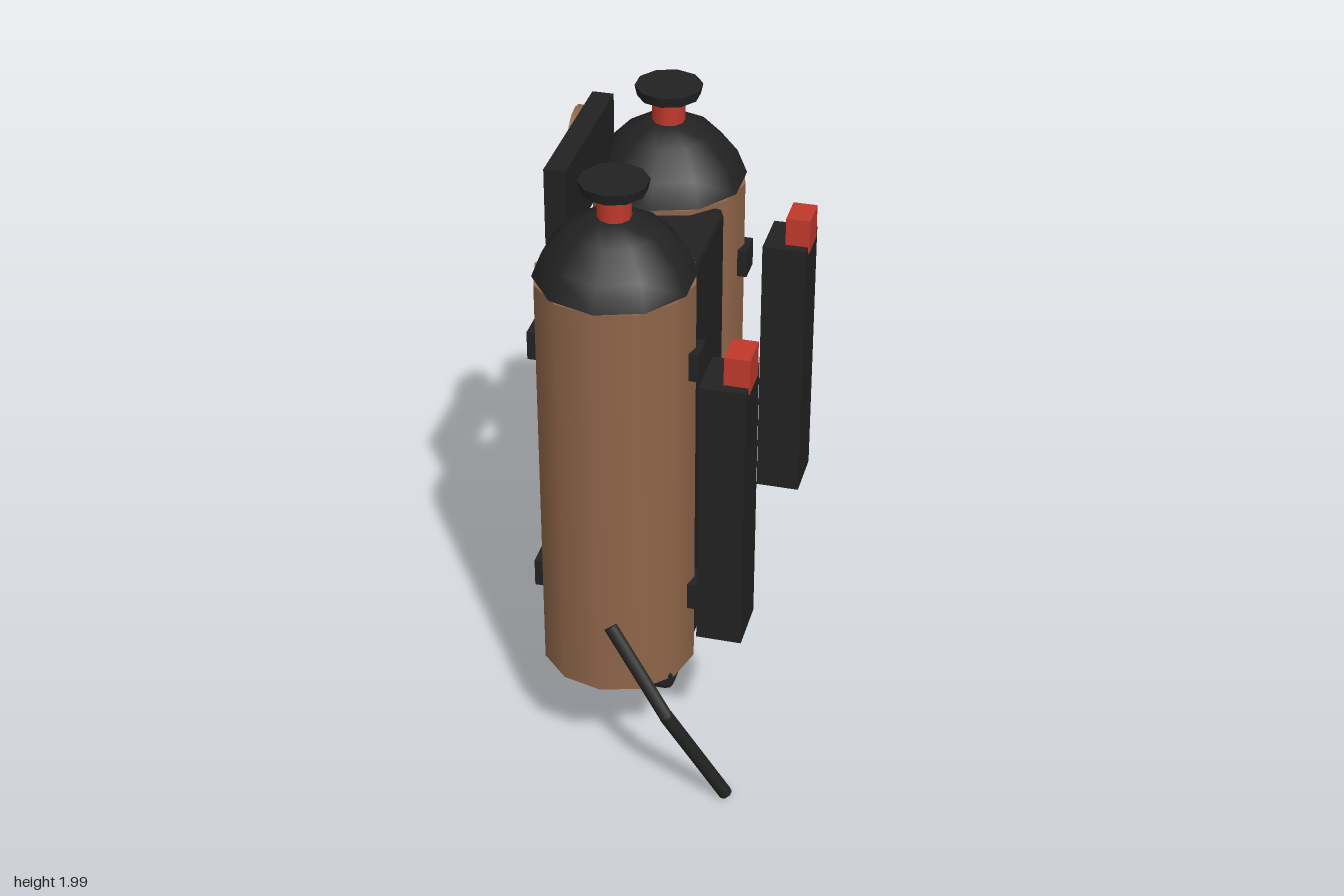
import * as THREE from 'three';
import { RoundedBoxGeometry } from 'three/addons/geometries/RoundedBoxGeometry.js';

export function createModel() {
  const model = new THREE.Group();
  model.name = 'twinTankPack';
  const mat = (name, color) => {
    const m = new THREE.MeshStandardMaterial({ color });
    m.name = name;
    return m;
  };
  const brown = mat('tankBrown', 0x8f6549);
  const black = mat('rubberBlack', 0x222222);
  const red = mat('valveRed', 0xc0392b);

  const add = (name, geometry, material, x, y, z, parent = model) => {
    const mesh = new THREE.Mesh(geometry, material);
    mesh.name = name;
    mesh.position.set(x, y, z);
    parent.add(mesh);
    return mesh;
  };
  // Box given by its lower and upper corner
  const box = (name, material, a, b, parent = model) =>
    add(name, new THREE.BoxGeometry(b[0] - a[0], b[1] - a[1], b[2] - a[2]), material,
      (a[0] + b[0]) / 2, (a[1] + b[1]) / 2, (a[2] + b[2]) / 2, parent);

  // Two tanks with shoulder, valve neck, cap and strap brackets
  const tankX = -0.08;
  const domeProfile = [[0.237, 0], [0.207, 0.075], [0.135, 0.15], [0.06, 0.185], [0, 0.193]]
    .map(([r, y]) => new THREE.Vector2(r, y));
  for (const [side, z] of [['rear', -0.348], ['front', 0.266]]) {
    const tank = new THREE.Group();
    tank.name = side + 'Tank';
    tank.position.set(tankX, 0, z);
    model.add(tank);
    add('tankBody', new THREE.CylinderGeometry(0.237, 0.237, 1.325, 12), brown, 0, 1.0375, 0, tank);
    add('tankShoulder', new THREE.LatheGeometry(domeProfile, 10), black, 0, 1.7, 0, tank);
    add('valveNeck', new THREE.CylinderGeometry(0.05, 0.05, 0.11, 10), red, 0, 1.92, 0, tank);
    add('valveCap', new THREE.CylinderGeometry(0.102, 0.095, 0.032, 10), black, 0, 1.984, 0, tank);
    for (const y of [0.63, 1.447]) {
      add('strapBracket', new THREE.BoxGeometry(0.51, 0.09, 0.086), black, 0, y, 0, tank);
    }
  }

  // Spine between the tanks and the base bar below them
  add('spine', new RoundedBoxGeometry(0.305, 1.345, 0.37, 1, 0.025), black, -0.028, 1.0125, -0.04);
  add('baseBar', new RoundedBoxGeometry(0.305, 0.085, 0.885, 1, 0.025), black, -0.028, 0.368, -0.038);

  // Pads on the back of the spine
  box('upperPad', red, [-0.225, 1.475, -0.16], [-0.17, 1.655, 0.08]);
  box('lowerPad', red, [-0.225, 0.705, -0.16], [-0.17, 0.835, 0.08]);

  // Side canisters with square plugs
  for (const z of [-0.45, 0.37]) {
    box('canister', black, [0.21, 0.6, z - 0.085], [0.346, 1.48, z + 0.085]);
    box('canisterPlug', red, [0.275, 1.46, z - 0.054], [0.35, 1.57, z + 0.054]);
  }

  // Control box with dial and pointer
  box('controlBox', black, [-0.3, 1.735, -0.295], [-0.235, 1.975, 0.213]);
  add('dial', new THREE.CylinderGeometry(0.094, 0.094, 0.045, 16), brown, -0.313, 1.857, -0.228)
    .rotation.z = Math.PI / 2;
  box('dialPointer', red, [-0.353, 1.848, -0.253], [-0.33, 1.866, -0.205]);

  // Hose made of two bent lengths
  const hose = [[-0.045, 0.615, 0.492], [0.143, 0.36, 0.557], [0.312, 0.02, 0.475]]
    .map((p) => new THREE.Vector3(...p));
  for (let i = 0; i < 2; i++) {
    const dir = hose[i + 1].clone().sub(hose[i]);
    const mid = hose[i].clone().add(hose[i + 1]).multiplyScalar(0.5);
    add('hose', new THREE.CylinderGeometry(0.022, 0.022, dir.length(), 8), black, mid.x, mid.y, mid.z)
      .quaternion.setFromUnitVectors(new THREE.Vector3(0, 1, 0), dir.normalize());
  }
  add('hoseElbow', new THREE.SphereGeometry(0.022, 8, 6), black, ...hose[1].toArray());

  return model;
}
